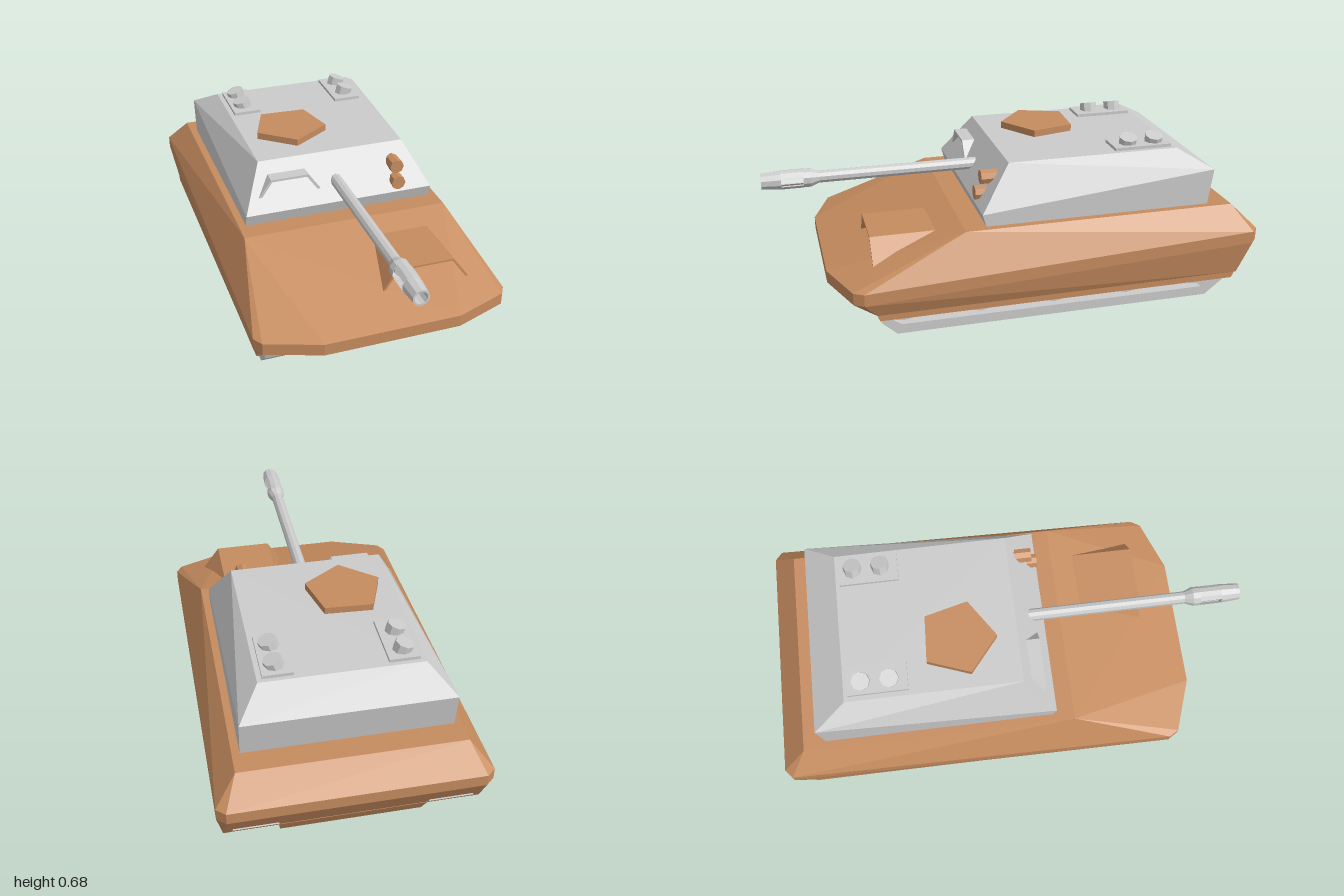
import * as THREE from 'three';
import { ConvexGeometry } from 'three/addons/geometries/ConvexGeometry.js';

const grey = new THREE.MeshStandardMaterial({ color: 0xcccccc, flatShading: true });
const greyThin = new THREE.MeshStandardMaterial({ color: 0xcccccc, flatShading: true, side: THREE.DoubleSide });
const brown = new THREE.MeshStandardMaterial({ color: 0xc68c5f, flatShading: true });

export function createModel() {
  const model = new THREE.Group();

  const add = (name, geometry, material, parent = model) => {
    const mesh = new THREE.Mesh(geometry, material);
    mesh.name = name;
    parent.add(mesh);
    return mesh;
  };
  // Convex solid from corners given for +x and mirrored to -x
  const mirrored = (corners) => new ConvexGeometry(corners.flatMap(([x, y, z]) =>
    [new THREE.Vector3(x, y, z), new THREE.Vector3(-x, y, z)]));
  const extrude = (points, depth) => new THREE.ExtrudeGeometry(
    new THREE.Shape(points.map(([x, y]) => new THREE.Vector2(x, y))), { depth, bevelEnabled: false });
  // Cylinder lying along z between z0 and z1
  const rod = (r0, r1, z0, z1, sides, open = false, start = 0, sweep = Math.PI * 2) =>
    new THREE.CylinderGeometry(r1, r0, z1 - z0, sides, 1, open, start, sweep)
      .rotateX(Math.PI / 2).translate(0, 0, (z0 + z1) / 2);

  // Hull
  add('hull', mirrored([
    [0.44, 0.40, 0.24], [0.44, 0.40, -0.90],
    [0.28, 0.22, 0.78], [0.50, 0.22, 0.70], [0.525, 0.22, 0.66],
    [0.28, 0.17, 0.78], [0.50, 0.17, 0.70], [0.525, 0.17, 0.66],
    [0.49, 0.30, -1.0], [0.525, 0.30, -0.97],
    [0.49, 0.25, -1.0], [0.525, 0.25, -0.97],
    [0.28, 0.11, 0.65], [0.50, 0.11, 0.61], [0.50, 0.11, -0.92],
  ]), brown);
  add('belly', mirrored([
    [0.28, 0.05, 0.53], [0.29, 0.12, 0.66], [0.28, 0.05, -0.89], [0.29, 0.12, -0.928],
  ]), brown);

  // Running gear on both sides
  const trackProfile = [
    [0.53, 0], [0.59, 0.055], [0.62, 0.14], [0.58, 0.14], [0.56, 0.075], [0.51, 0.04],
    [-0.78, 0.04], [-0.83, 0.08], [-0.87, 0.15], [-0.95, 0.15], [-0.875, 0.06], [-0.80, 0],
  ];
  for (const side of [-1, 1]) {
    const gear = new THREE.Group();
    gear.name = side > 0 ? 'leftRunningGear' : 'rightRunningGear';
    model.add(gear);
    add('track', extrude(trackProfile, 0.175).rotateY(-Math.PI / 2)
      .translate(side * 0.3775 + 0.0875, 0, 0), grey, gear);
    for (let i = 0; i < 5; i++) {
      add('roadWheel', new THREE.CylinderGeometry(0.08, 0.08, 0.15, 16).rotateZ(Math.PI / 2)
        .translate(side * 0.3775, 0.13, 0.5 - i * 0.315), grey, gear);
    }
    add('skirt', extrude([[0.60, 0.085], [0.62, 0.13], [-0.92, 0.13], [-0.90, 0.085]], 0.025)
      .rotateY(-Math.PI / 2).translate(side * 0.4875 + 0.0125, 0, 0), brown, gear);
  }

  // Turret
  add('turret', mirrored([
    [0.41, 0.40, 0.15], [0.41, 0.45, 0.165], [0.32, 0.627, 0.035],
    [0.32, 0.627, -0.69], [0.41, 0.55, -0.825], [0.41, 0.40, -0.805],
  ]), grey);

  // Open hoods: an arch extruded back into the sloping plate behind it
  const hood = (x0, x1, tx0, tx1, y0, y1, t, depth) => extrude([
    [x0, y0], [x0 + t * 1.5, y0], [tx0 + t * 0.5, y1 - t], [tx1 - t * 0.5, y1 - t],
    [x1 - t * 1.5, y0], [x1, y0], [tx1, y1], [tx0, y1],
  ], depth);
  add('sightHood', hood(-0.345, -0.075, -0.29, -0.13, 0.505, 0.58, 0.01, 0.07).translate(0, 0, 0.055), grey);
  add('driverHood', hood(0.01, 0.40, 0.08, 0.32, 0.26, 0.367, 0.008, 0.265).translate(0, 0, 0.34), brown);

  // Gun with a side-vented muzzle brake
  const gun = new THREE.Group();
  gun.name = 'gun';
  gun.position.y = 0.52;
  model.add(gun);
  add('barrel', rod(0.026, 0.026, 0.06, 0.82, 10), grey, gun);
  add('muzzleCollar', rod(0.026, 0.04, 0.765, 0.80, 10, true), greyThin, gun);
  add('muzzleRear', rod(0.04, 0.04, 0.80, 0.83, 10, true), greyThin, gun);
  for (const middle of [0, Math.PI]) {
    const start = middle - Math.PI / 3;
    const sweep = Math.PI * 2 / 3;
    add('muzzleStrip', rod(0.04, 0.04, 0.83, 0.92, 4, true, start, sweep), greyThin, gun);
    add('muzzleStripInside', rod(0.027, 0.027, 0.83, 0.92, 4, true, start, sweep), greyThin, gun);
  }
  add('muzzleFront', rod(0.04, 0.034, 0.92, 1.0, 10, true), greyThin, gun);
  add('muzzleBore', rod(0.026, 0.026, 0.92, 1.0, 10, true), greyThin, gun);
  add('muzzleRim', new THREE.RingGeometry(0.026, 0.034, 10, 1, Math.PI / 2).translate(0, 0, 1.0), greyThin, gun);
  add('muzzleVentWall', new THREE.RingGeometry(0.026, 0.04, 10, 1, Math.PI / 2).translate(0, 0, 0.92), greyThin, gun);

  // Paired lamps on the turret front
  for (const [y, z] of [[0.555, 0.14], [0.49, 0.165]]) {
    add('frontLamp', rod(0.031, 0.031, z - 0.10, z, 8).translate(0.262, y, 0), brown);
  }

  // Roof hatch
  add('roofHatch', extrude([[-0.265, 0.17], [-0.12, 0.05], [0.04, 0.155], [-0.005, 0.335], [-0.20, 0.345]], 0.04)
    .rotateX(-Math.PI / 2).translate(0, 0.616, 0), brown);

  // Roof launchers, leaning outward
  for (const side of [-1, 1]) {
    const launcher = new THREE.Group();
    launcher.name = side > 0 ? 'leftLauncher' : 'rightLauncher';
    model.add(launcher);
    add('launcherBase', new THREE.BoxGeometry(0.12, 0.03, 0.245)
      .translate(side * 0.24, 0.625, -0.55), grey, launcher);
    for (const z of [-0.615, -0.5]) {
      add('launcherTube', new THREE.CylinderGeometry(0.038, 0.038, 0.06, 8)
        .rotateZ(-side * 0.3).translate(side * 0.245, 0.64, z), grey, launcher);
    }
  }
  return model;
}
